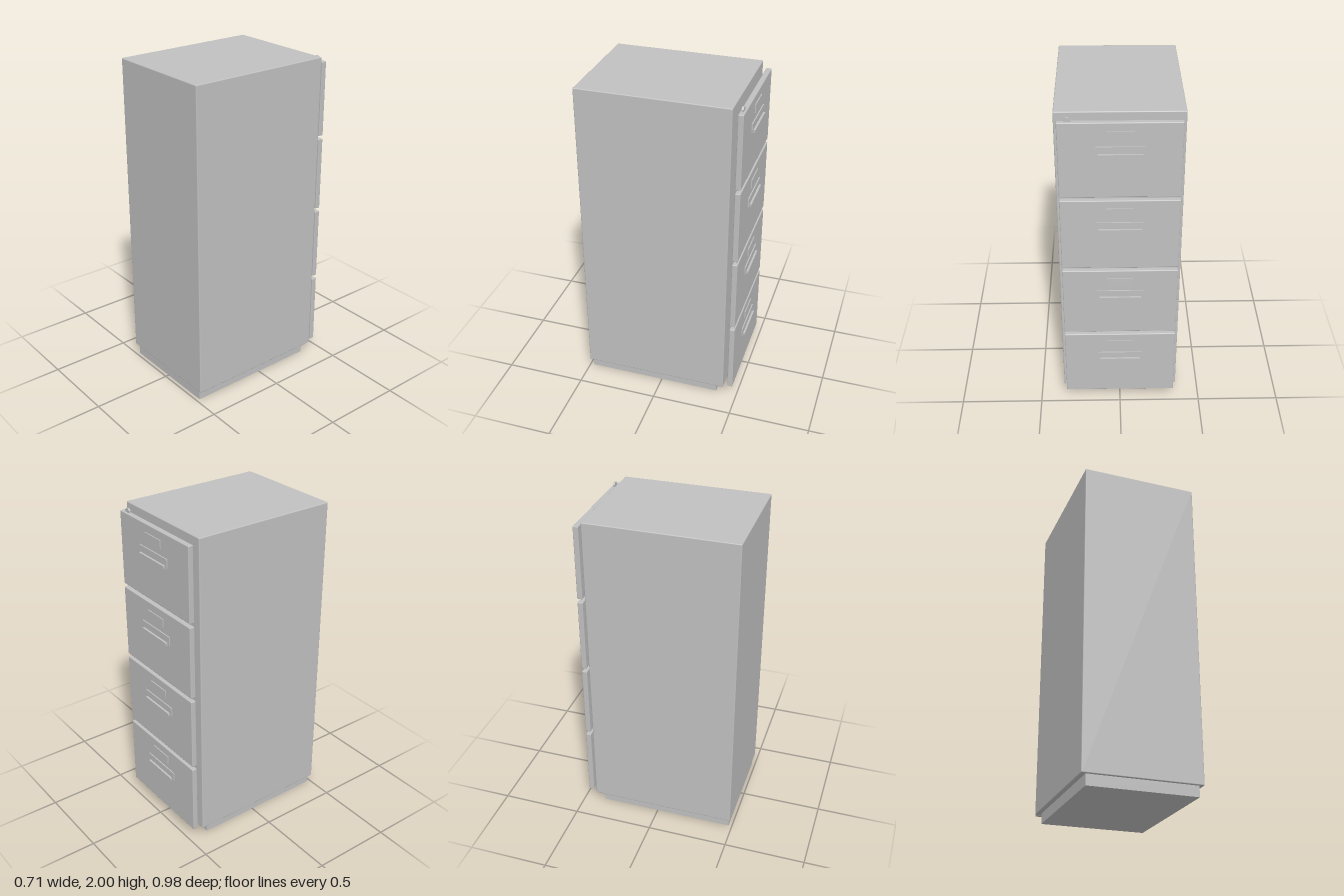
import * as THREE from 'three';
import { RoundedBoxGeometry } from 'three/addons/geometries/RoundedBoxGeometry.js';

export function createModel() {
  const group = new THREE.Group();
  group.name = 'filingCabinet';
  const steel = new THREE.MeshStandardMaterial({ color: 0xc0c0c0 });
  steel.name = 'greySteel';

  // Box given by its limits on each axis; a bevel radius rounds its edges
  const addBox = (parent, name, [x0, x1], [y0, y1], [z0, z1], bevel = 0) => {
    const size = [x1 - x0, y1 - y0, z1 - z0];
    const geometry = bevel
      ? new RoundedBoxGeometry(...size, 2, bevel)
      : new THREE.BoxGeometry(...size);
    const mesh = new THREE.Mesh(geometry, steel);
    mesh.name = name;
    mesh.position.set((x0 + x1) / 2, (y0 + y1) / 2, (z0 + z1) / 2);
    parent.add(mesh);
    return mesh;
  };

  // Cabinet shell and recessed plinth
  addBox(group, 'cabinetBody', [-0.355, 0.355], [0.065, 2], [-0.417, 0.49], 0.006);
  addBox(group, 'plinth', [-0.327, 0.327], [0, 0.068], [-0.367, 0.478]);

  // Four identical drawer fronts standing just clear of the body
  const pitch = 0.479;
  for (let i = 0; i < 4; i++) {
    const drawer = new THREE.Group();
    drawer.name = 'drawer' + (i + 1);
    drawer.position.y = 1.963 - i * pitch; // top edge of the drawer
    addBox(drawer, 'drawerFront', [-0.337, 0.337], [-0.456, 0], [-0.474, -0.441], 0.005);
    addBox(drawer, 'labelHolder', [-0.076, 0.076], [-0.102, -0.05], [-0.48, -0.472]);
    addBox(drawer, 'handlePlate', [-0.137, 0.137], [-0.195, -0.14], [-0.481, -0.472]);
    addBox(drawer, 'handleLip', [-0.122, 0.122], [-0.197, -0.181], [-0.494, -0.474]);
    group.add(drawer);
  }

  // Eight-sided lock disc showing above the top drawer
  const lock = new THREE.Mesh(
    new THREE.CylinderGeometry(0.021, 0.021, 0.012, 8).rotateY(Math.PI / 8).rotateX(Math.PI / 2).toNonIndexed(),
    steel
  );
  lock.geometry.computeVertexNormals();
  lock.name = 'lock';
  lock.position.set(0.279, 1.968, -0.456);
  group.add(lock);

  return group;
}
